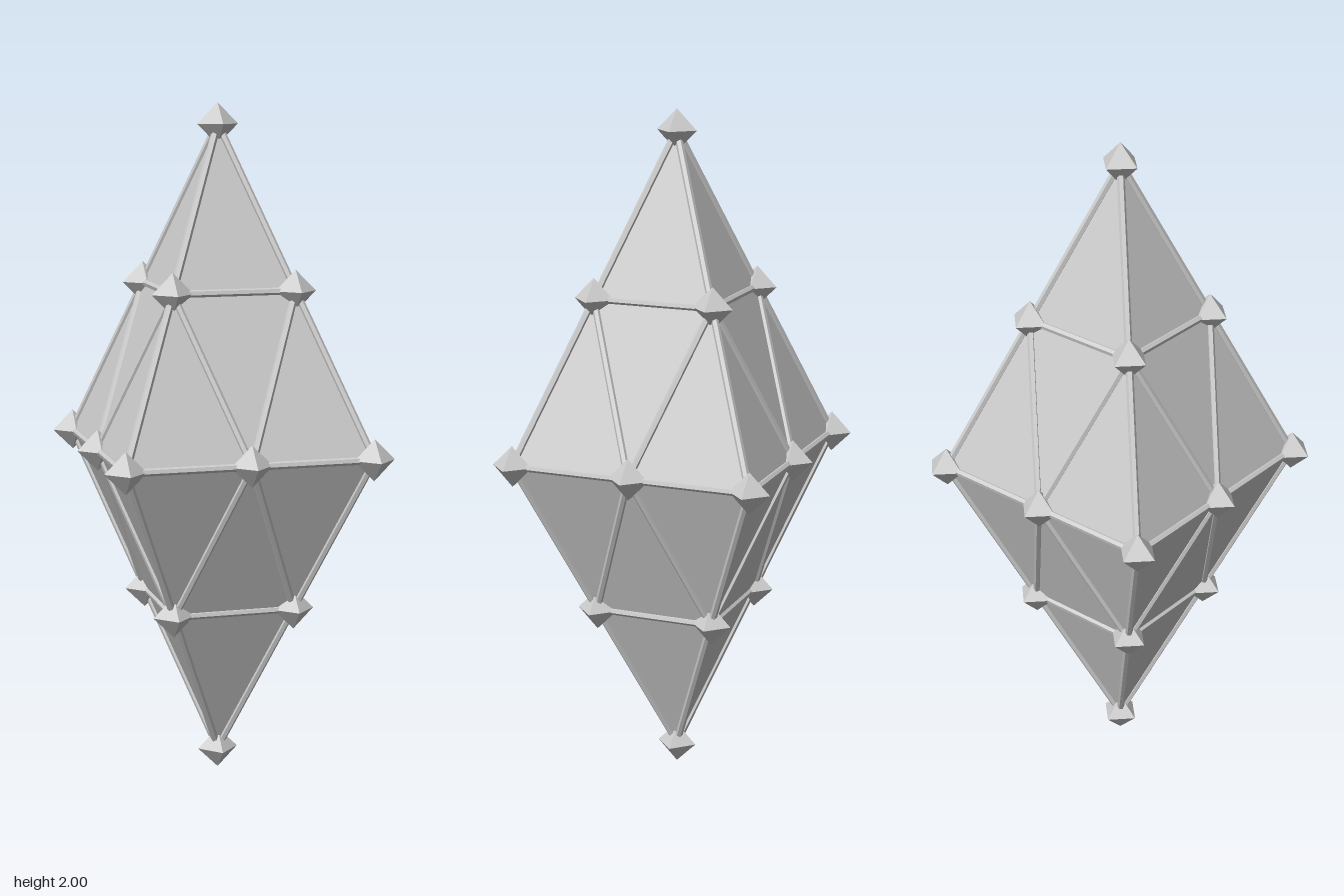
import * as THREE from 'three';

const R = 0.513;      // half width of the crystal
const H = 0.939;      // half height of the crystal
const NODE = 0.061;   // radius of a corner stud
const STRUT = 0.011;  // radius of a strut

export function createModel() {
  const model = new THREE.Group();
  model.name = 'crystalLattice';
  const material = new THREE.MeshStandardMaterial({ color: 0xcccccc, flatShading: true });
  const place = (x, y, z) => new THREE.Vector3(x * R, 1 + y * H, z * R);

  // Flat panels: a stretched octahedron
  const panels = new THREE.Mesh(new THREE.OctahedronGeometry(1).scale(R, H, R), material);
  panels.name = 'panels';
  panels.position.y = 1;
  model.add(panels);

  // Studs at every corner and edge midpoint: lattice points with |x|+|y|+|z| = 2
  const points = [];
  for (let x = -2; x <= 2; x++)
    for (let y = -2; y <= 2; y++)
      for (let z = -2; z <= 2; z++)
        if (Math.abs(x) + Math.abs(y) + Math.abs(z) === 2) points.push(new THREE.Vector3(x, y, z).divideScalar(2));

  const studs = new THREE.Group();
  studs.name = 'studs';
  const studGeometry = new THREE.OctahedronGeometry(NODE).rotateY(Math.PI / 4);
  for (const p of points) {
    const stud = new THREE.Mesh(studGeometry, material);
    stud.name = 'stud';
    stud.position.copy(place(p.x, p.y, p.z));
    studs.add(stud);
  }
  model.add(studs);

  // Struts between neighbouring studs that lie on the same face
  const struts = new THREE.Group();
  struts.name = 'struts';
  const up = new THREE.Vector3(0, 1, 0);
  const sameFace = (a, b) => a.x * b.x >= 0 && a.y * b.y >= 0 && a.z * b.z >= 0;
  points.forEach((a, i) => points.slice(i + 1).forEach((b) => {
    if (a.distanceTo(b) > 0.75 || !sameFace(a, b)) return;
    const start = place(a.x, a.y, a.z), end = place(b.x, b.y, b.z);
    const along = end.clone().sub(start);
    const strut = new THREE.Mesh(new THREE.CylinderGeometry(STRUT, STRUT, along.length(), 6), material);
    strut.name = 'strut';
    strut.position.copy(start).add(end).multiplyScalar(0.5);
    strut.quaternion.setFromUnitVectors(up, along.normalize());
    struts.add(strut);
  }));
  model.add(struts);

  return model;
}
